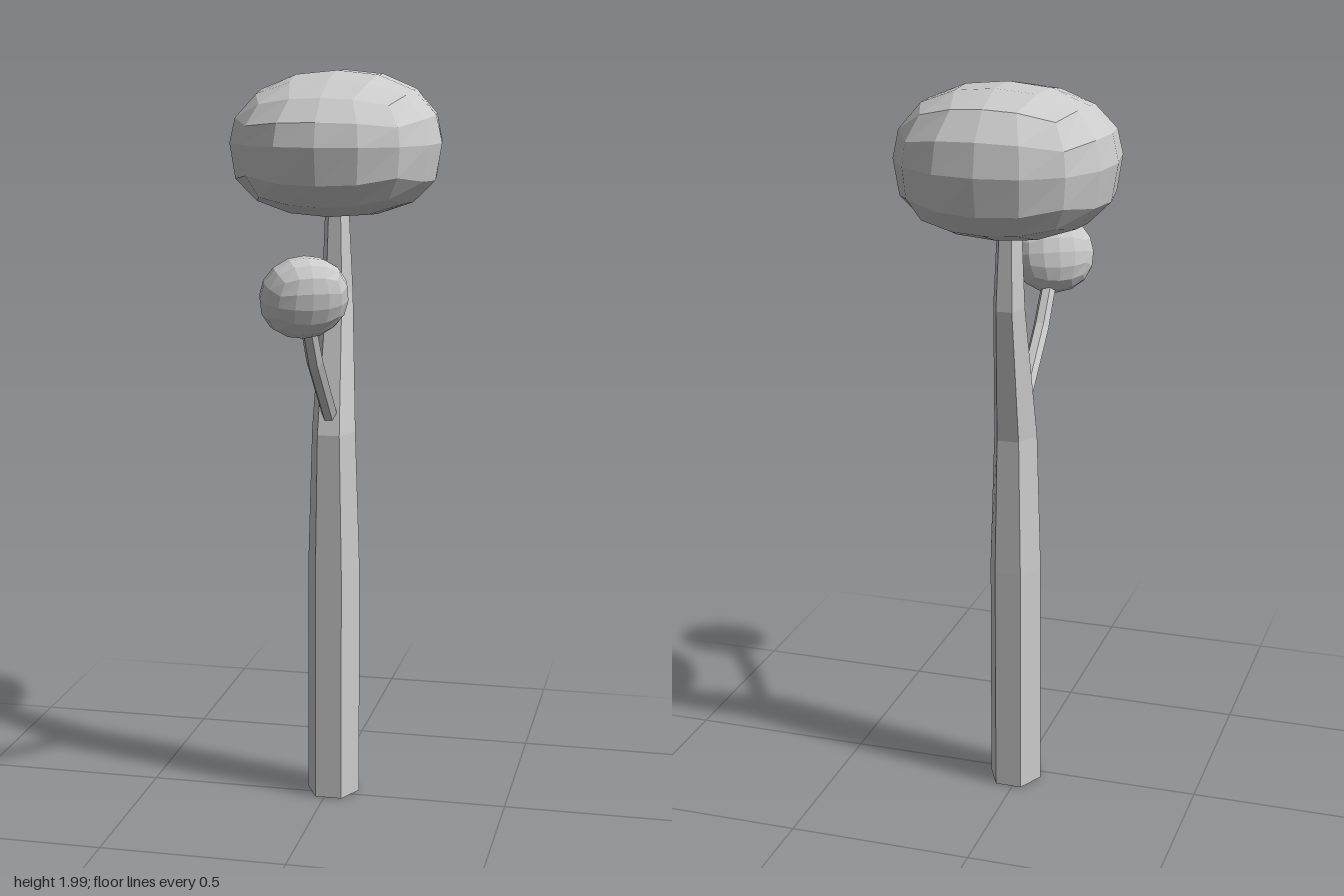
import * as THREE from 'three';

const material = new THREE.MeshStandardMaterial({ color: 0xcccccc, flatShading: true });

// Faceted limb from rings: [cx, cy, cz, rx, rz, tilt about x]
function limb(name, rings, sides) {
  const pos = [], index = [];
  for (const [cx, cy, cz, rx, rz, tilt = 0] of rings) {
    for (let i = 0; i < sides; i++) {
      const a = (i / sides) * Math.PI * 2, d = rz * Math.sin(a);
      pos.push(cx + rx * Math.cos(a), cy - d * Math.sin(tilt), cz + d * Math.cos(tilt));
    }
  }
  const last = (rings.length - 1) * sides;
  for (let r = 0; r < last; r += sides) {
    for (let i = 0; i < sides; i++) {
      const j = (i + 1) % sides;
      const a = r + i, b = r + j, c = a + sides, d = b + sides;
      index.push(a, c, b, b, c, d);
    }
  }
  // End caps
  for (let i = 1; i < sides - 1; i++) {
    index.push(0, i, i + 1, last, last + i + 1, last + i);
  }
  const g = new THREE.BufferGeometry();
  g.setAttribute('position', new THREE.Float32BufferAttribute(pos, 3));
  g.setIndex(index);
  g.computeVertexNormals();
  const mesh = new THREE.Mesh(g, material);
  mesh.name = name;
  return mesh;
}

// Cube rounded into a faceted ball; power above 2 makes it boxier
function foliage(name, radii, power, shape = () => {}) {
  const g = new THREE.BoxGeometry(2, 2, 2, 4, 4, 4);
  const p = g.attributes.position, v = new THREE.Vector3();
  const spread = (t) => Math.tan((t * Math.PI) / 4);
  for (let i = 0; i < p.count; i++) {
    v.fromBufferAttribute(p, i);
    v.set(spread(v.x), spread(v.y), spread(v.z));
    const len = [v.x, v.y, v.z].reduce((s, c) => s + Math.abs(c) ** power, 0) ** (1 / power);
    v.divideScalar(len);
    shape(v);
    v.multiply(radii);
    p.setXYZ(i, v.x, v.y, v.z);
  }
  g.computeVertexNormals();
  const mesh = new THREE.Mesh(g, material);
  mesh.name = name;
  return mesh;
}

export function createModel() {
  const tree = new THREE.Group();
  tree.name = 'tree';

  // Straight trunk that bends backward and narrows above the fork
  tree.add(limb('trunk', [
    [0.012, 0, -0.033, 0.073, 0.083],
    [0.012, 0.65, -0.033, 0.072, 0.083],
    [0.012, 1.03, -0.03, 0.06, 0.081],
    [0.006, 1.4, -0.105, 0.043, 0.052],
    [0.005, 1.66, -0.103, 0.031, 0.036],
  ], 6));

  // Side branch growing forward
  tree.add(limb('branch', [
    [0.01, 1.05, -0.02, 0.021, 0.022, 0.8],
    [0.012, 1.26, 0.205, 0.022, 0.024, 0.85],
    [0.01, 1.41, 0.305, 0.02, 0.02, 0.95],
  ], 6));

  // Main crown: flat underside, top rising toward the back
  const crown = foliage('crown', new THREE.Vector3(0.285, 0.2, 0.285), 2.2, (v) => {
    if (v.y < 0) v.y = -Math.min(1, Math.abs(v.y) ** 0.75);
    else v.y *= 0.94 - 0.14 * v.z;
  });
  crown.position.set(0, 1.8, -0.125);
  tree.add(crown);

  // Small crown on the branch
  const small = foliage('smallCrown', new THREE.Vector3(0.115, 0.107, 0.08), 2.1);
  small.position.set(0.01, 1.44, 0.316);
  small.rotation.set(0.3, 0.52, 0, 'YXZ');
  tree.add(small);

  return tree;
}
